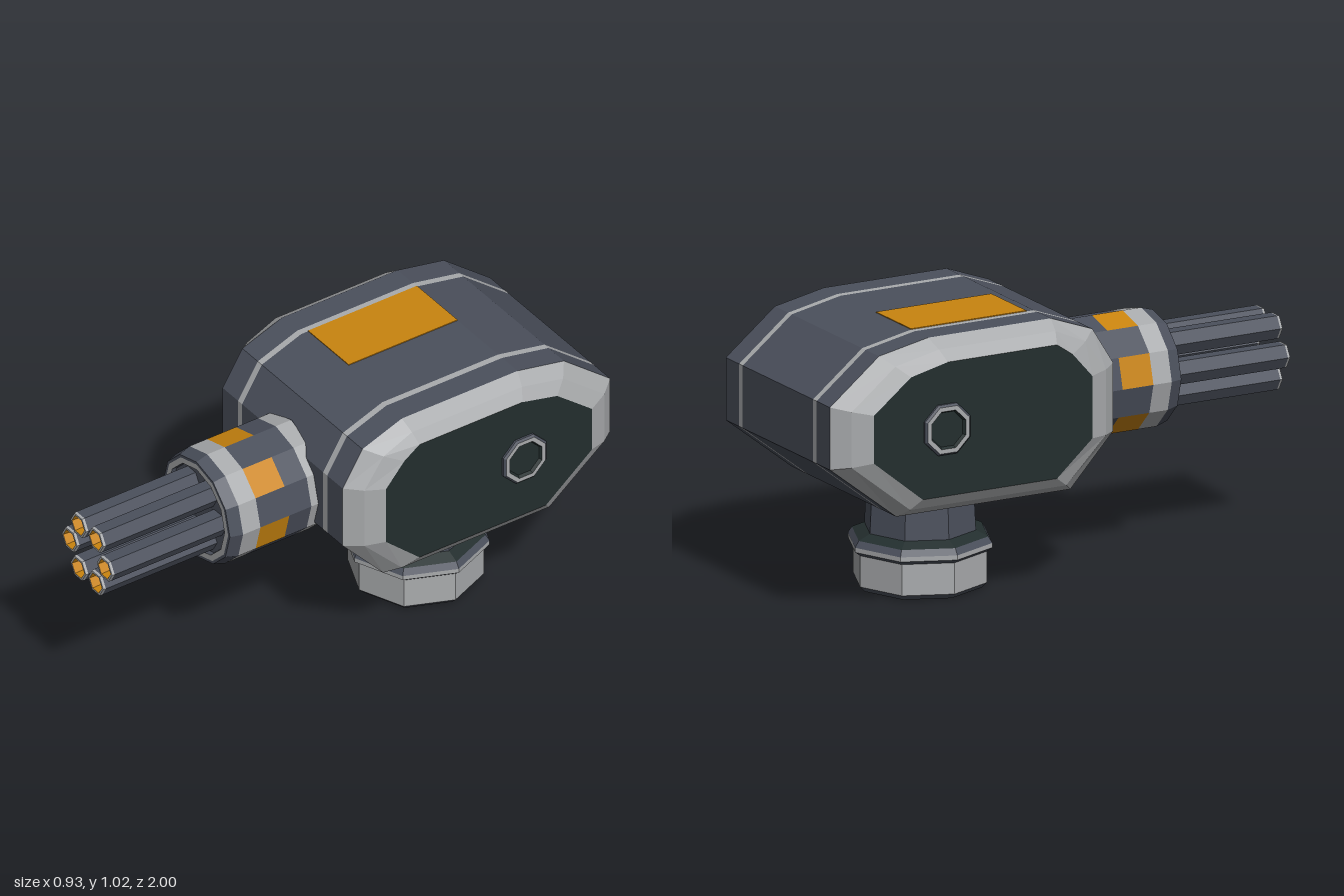
import * as THREE from 'three';

const paint = (name, color) => {
  const m = new THREE.MeshStandardMaterial({ color });
  m.name = name;
  return m;
};

export function createModel() {
  const slate = paint('slate', 0x4b505c);
  const grey = paint('light grey', 0xa9abad);
  const teal = paint('dark teal', 0x232e2e);
  const orange = paint('orange', 0xc9840f);

  const model = new THREE.Group();
  model.name = 'turret';

  const add = (parent, name, geometry, material) => {
    const mesh = new THREE.Mesh(geometry, material);
    mesh.name = name;
    parent.add(mesh);
    return mesh;
  };
  const group = (name, x, y, z) => {
    const g = new THREE.Group();
    g.name = name;
    g.position.set(x, y, z);
    model.add(g);
    return g;
  };
  // Faceted turned band; profile is [radius, height] running up the outside
  const turned = (profile, sides, start = 0, span = sides) => {
    const step = (Math.PI * 2) / sides;
    const pts = profile.map(([r, h]) => new THREE.Vector2(r, h));
    const g = new THREE.LatheGeometry(pts, span, start * step, span * step).toNonIndexed();
    g.computeVertexNormals();
    return g;
  };

  // Body outline and smaller end outline, as [z, y]
  const outer = [[-0.1, 1.02], [-0.6, 1.02], [-0.8, 0.98], [-1, 0.82], [-1, 0.59],
    [-0.73, 0.38], [-0.02, 0.38], [0.155, 0.57], [0.155, 0.82], [0.07, 0.957]];
  const inner = [[-0.12, 0.945], [-0.565, 0.945], [-0.715, 0.91], [-0.866, 0.79], [-0.866, 0.614],
    [-0.667, 0.453], [-0.12, 0.453], [0.024, 0.58], [0.024, 0.81], [-0.055, 0.9]];
  const ring = (x, t) => outer.map(([z, y], i) => [
    x, y + (inner[i][1] - y) * t, z + (inner[i][0] - z) * t]);
  const centre = (x) => outer.map(() => [x, 0.7, -0.42]);
  const loft = (rings) => {
    const pos = [];
    for (let s = 0; s + 1 < rings.length; s++) {
      const a = rings[s], b = rings[s + 1];
      a.forEach((p, i) => {
        const j = (i + 1) % a.length;
        pos.push(...p, ...b[i], ...b[j], ...p, ...b[j], ...a[j]);
      });
    }
    const g = new THREE.BufferGeometry();
    g.setAttribute('position', new THREE.Float32BufferAttribute(pos, 3));
    g.computeVertexNormals();
    return g;
  };

  // Body shell with stripes
  const body = group('body', 0, 0, 0);
  const bands = [[-0.37, -0.275, slate], [-0.275, -0.25, grey], [-0.25, 0.25, slate],
    [0.25, 0.275, grey], [0.275, 0.37, slate]];
  for (const [x0, x1, mat] of bands) {
    add(body, mat === grey ? 'bodyStripe' : 'bodyShell', loft([ring(x0, 0), ring(x1, 0)]), mat);
  }
  // Bevelled ends and end plates
  add(body, 'leftBevel', loft([ring(0.37, 0), ring(0.42, 0.45), ring(0.45, 1)]), grey);
  add(body, 'rightBevel', loft([ring(-0.45, 1), ring(-0.42, 0.45), ring(-0.37, 0)]), grey);
  add(body, 'leftEndPlate', loft([ring(0.45, 1), centre(0.45)]), teal);
  add(body, 'rightEndPlate', loft([centre(-0.45), ring(-0.45, 1)]), teal);

  // Painted roof panel
  const panel = add(body, 'roofPanel', new THREE.BoxGeometry(0.25, 0.006, 0.47), orange);
  panel.position.set(-0.125, 1.02, -0.365);

  // Pivot hubs on both ends
  for (const side of [1, -1]) {
    const hub = group(side > 0 ? 'leftHub' : 'rightHub', side * 0.45, 0.7, -0.57);
    hub.rotation.z = -side * Math.PI / 2;
    add(hub, 'hubEdge', turned([[0.1, -0.01], [0.1, 0.008], [0.092, 0.015]], 8, 0.5), slate);
    add(hub, 'hubRing', turned([[0.092, 0.015], [0.075, 0.015]], 8, 0.5), grey);
    add(hub, 'hubCentre', turned([[0.075, 0.015], [0.068, 0.004], [0, 0.004]], 8, 0.5), teal);
  }

  // Stand
  const stand = group('stand', 0, 0, -0.42);
  add(stand, 'baseBottom', turned([[0, 0], [0.225, 0]], 8), teal);
  add(stand, 'baseChamfer', turned([[0.225, 0], [0.245, 0.02]], 8), slate);
  add(stand, 'baseDrum', turned([[0.245, 0.02], [0.245, 0.135]], 8), grey);
  add(stand, 'collarLower', turned([[0.245, 0.135], [0.265, 0.15]], 8), slate);
  add(stand, 'collarStripe', turned([[0.265, 0.15], [0.265, 0.167]], 8), grey);
  add(stand, 'collarUpper', turned([[0.265, 0.167], [0.25, 0.19]], 8), slate);
  add(stand, 'collarTop', turned([[0.25, 0.19], [0.2, 0.212]], 8), teal);
  add(stand, 'neck', turned([[0.205, 0.2], [0.195, 0.4]], 8), slate);

  // Gun housing, turned about the z axis
  const gun = group('gun', 0, 0.665, 0);
  gun.rotation.x = Math.PI / 2;
  add(gun, 'housingRoot', turned([[0.19, 0.02], [0.205, 0.08], [0.22, 0.12]], 12), slate);
  add(gun, 'rearBand', turned([[0.22, 0.12], [0.22, 0.185]], 12), grey);
  add(gun, 'housing', turned([[0.22, 0.185], [0.22, 0.28]], 12), slate);
  for (let k = 0; k < 12; k++) {
    add(gun, k % 2 ? 'housingFacet' : 'warningFacet',
      turned([[0.22, 0.28], [0.22, 0.405]], 12, k, 1), k % 2 ? slate : orange);
  }
  add(gun, 'frontBand', turned([[0.22, 0.405], [0.22, 0.48]], 12), grey);
  add(gun, 'housingLip', turned([[0.22, 0.48], [0.206, 0.527], [0.195, 0.527]], 12), slate);
  add(gun, 'muzzleRing', turned([[0.195, 0.527], [0.173, 0.527]], 12), grey);
  add(gun, 'housingFace', turned([[0.173, 0.527], [0.17, 0.51], [0, 0.51]], 12), slate);

  // Six hexagonal barrels
  for (let i = 0; i < 6; i++) {
    const a = (i * Math.PI) / 3;
    const barrel = new THREE.Group();
    barrel.name = 'barrel';
    barrel.position.set(0.108 * Math.cos(a), 0, 0.108 * Math.sin(a));
    gun.add(barrel);
    add(barrel, 'barrelTube', turned([[0.049, 0.5], [0.049, 0.99]], 6, 0.5), slate);
    add(barrel, 'barrelRim', turned([[0.049, 0.99], [0.047, 1], [0.038, 1]], 6, 0.5), grey);
    add(barrel, 'barrelBore', turned([[0.038, 1], [0.034, 0.94]], 6, 0.5), orange);
    add(barrel, 'boreFloor', turned([[0.034, 0.94], [0, 0.94]], 6, 0.5), teal);
  }

  return model;
}
